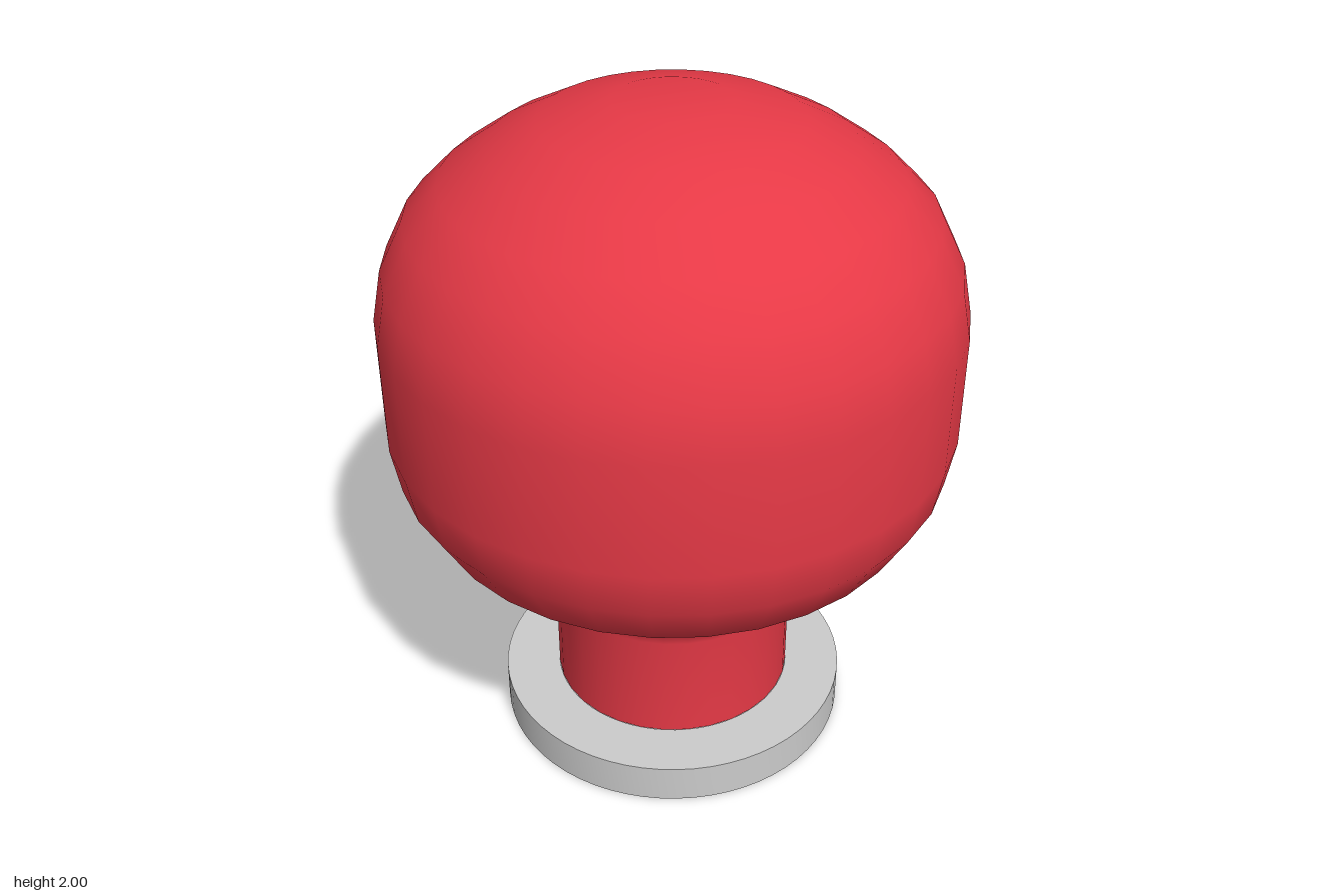
import * as THREE from 'three';
import { toCreasedNormals } from 'three/addons/utils/BufferGeometryUtils.js';

const lathe = (profile, segments) =>
  new THREE.LatheGeometry(profile.map(([r, y]) => new THREE.Vector2(r, y)), segments);

export function createModel() {
  const model = new THREE.Group();
  model.name = 'knob';

  // Hollow neck flaring into a rounded head, open at the bottom
  const head = new THREE.Mesh(
    lathe([
      [0.365, 0.12], [0.365, 0.46], [0.4, 0.54], [0.58, 0.67], [0.725, 0.79],
      [0.805, 0.93], [0.83, 1.07], [0.83, 1.4], [0.8, 1.55], [0.73, 1.69],
      [0.63, 1.79], [0.5, 1.88], [0.36, 1.95], [0.165, 2], [0, 2],
    ], 32),
    new THREE.MeshStandardMaterial({ color: 0xe63946, side: THREE.DoubleSide })
  );
  head.name = 'head';
  model.add(head);

  // Flat collar ring around the foot of the neck
  const collar = new THREE.Mesh(
    toCreasedNormals(lathe([
      [0.365, 0], [0.533, 0], [0.533, 0.12], [0.365, 0.12], [0.365, 0],
    ], 64), 0.6),
    new THREE.MeshStandardMaterial({ color: 0xcccccc })
  );
  collar.name = 'collar';
  model.add(collar);

  return model;
}
